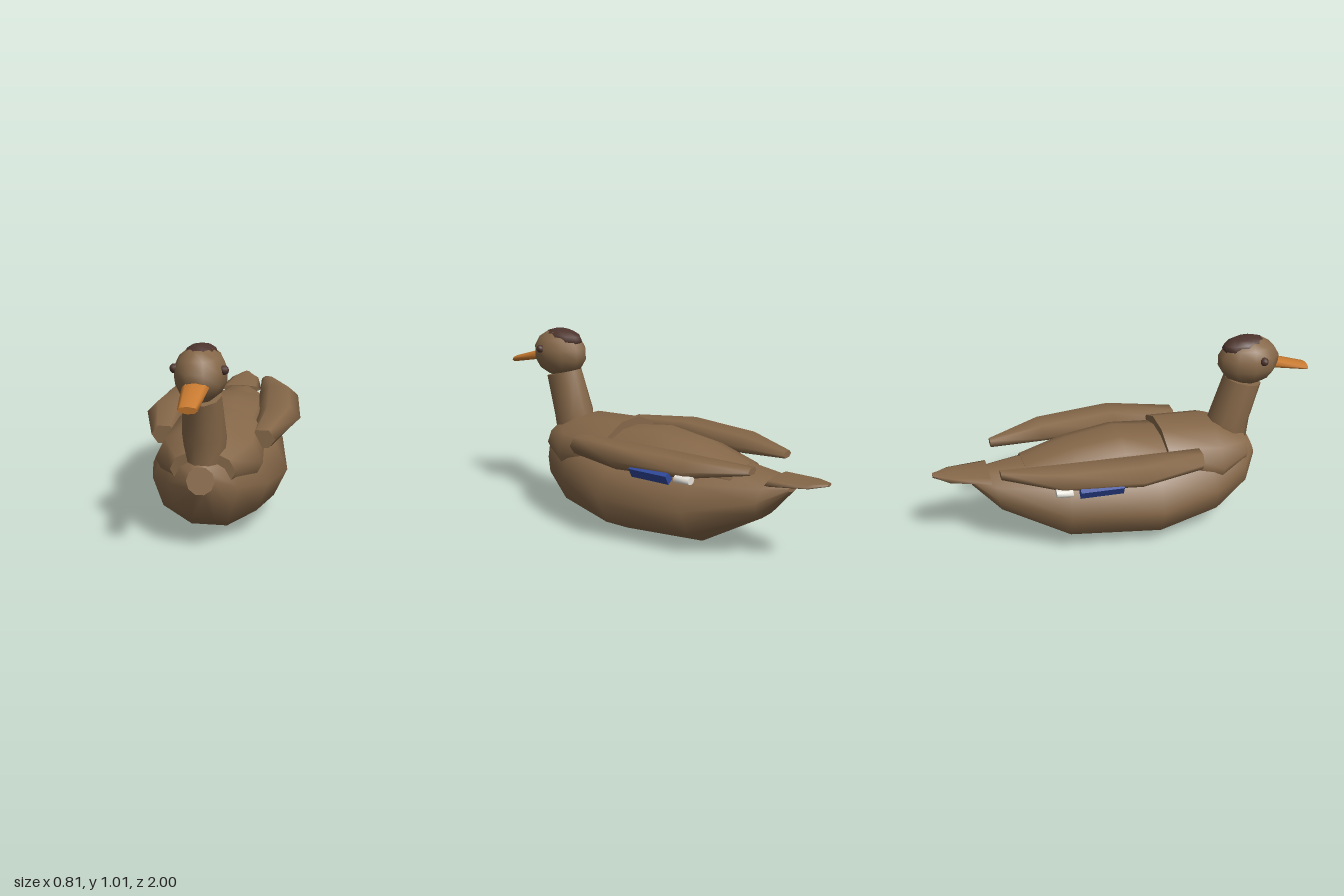
import * as THREE from 'three';

const mat = (name, color) => {
  const m = new THREE.MeshStandardMaterial({ color });
  m.name = name;
  return m;
};

// Smooth skin over elliptical rings, with flat ends.
// Ring: [cx, cy, cz, half width in x, rise (dy), lean (dz)], listed front to back or bottom to top.
function loft(rings, sides) {
  const pos = [], idx = [];
  const addRing = ([cx, cy, cz, rx, dy, dz = 0]) => {
    const start = pos.length / 3;
    for (let j = 0; j < sides; j++) {
      const a = (j / sides) * Math.PI * 2;
      pos.push(cx + rx * Math.cos(a), cy + dy * Math.sin(a), cz + dz * Math.sin(a));
    }
    return start;
  };
  const starts = rings.map(addRing);
  for (let i = 0; i < rings.length - 1; i++) {
    for (let j = 0; j < sides; j++) {
      const k = (j + 1) % sides;
      const a = starts[i] + j, b = starts[i] + k;
      const c = starts[i + 1] + j, d = starts[i + 1] + k;
      idx.push(a, c, b, b, c, d);
    }
  }
  const first = addRing(rings[0]), last = addRing(rings[rings.length - 1]);
  for (let j = 1; j < sides - 1; j++) {
    idx.push(first, first + j, first + j + 1, last, last + j + 1, last + j);
  }
  const g = new THREE.BufferGeometry();
  g.setAttribute('position', new THREE.Float32BufferAttribute(pos, 3));
  g.setIndex(idx);
  g.computeVertexNormals();
  return g;
}

export function createModel() {
  const duck = new THREE.Group();
  duck.name = 'duck';
  const brown = mat('featherBrown', 0x866849);
  const dark = mat('darkBrown', 0x4e352e);
  const orange = mat('billOrange', 0xc87a30);
  const blue = mat('wingBlue', 0x304a9c);
  const white = mat('wingWhite', 0xeeeae0);

  const add = (name, geometry, material, x = 0, y = 0, z = 0) => {
    const m = new THREE.Mesh(geometry, material);
    m.name = name;
    m.position.set(x, y, z);
    duck.add(m);
    return m;
  };

  // Boat-shaped body
  add('body', loft([
    [0, 0.37, 0.705, 0.067, 0.063, -0.02],
    [0, 0.32, 0.625, 0.17, 0.168, -0.035],
    [0, 0.27, 0.43, 0.285, 0.231, -0.03],
    [0, 0.235, 0.12, 0.352, 0.247],
    [0, 0.25, -0.35, 0.285, 0.226],
    [0, 0.33, -0.69, 0.15, 0.115, -0.02],
    [0, 0.395, -0.81, 0.05, 0.02],
  ], 10), brown);

  // Shoulder cape and raised back
  add('mantle', loft([
    [0, 0.4, 0.64, 0.155, 0.097],
    [0, 0.39, 0.47, 0.262, 0.17],
    [0, 0.425, 0.18, 0.24, 0.152],
  ], 10), brown);
  add('backFeathers', loft([
    [0, 0.44, 0.2, 0.21, 0.09],
    [0, 0.44, -0.04, 0.215, 0.126],
    [0, 0.43, -0.3, 0.19, 0.1],
    [0, 0.415, -0.54, 0.14, 0.04],
  ], 10), brown);

  add('tail', loft([
    [0, 0.42, -0.72, 0.122, 0.022],
    [0, 0.437, -0.92, 0.08, 0.016],
    [0, 0.449, -1, 0.018, 0.009],
  ], 8), brown);

  // Neck, leaning forward
  add('neck', loft([
    [0, 0.42, 0.57, 0.092, 0, 0.11],
    [0, 0.55, 0.58, 0.106, -0.01, 0.11],
    [0, 0.765, 0.645, 0.092, -0.026, 0.1],
  ], 10), brown);

  // Head with dark crown
  add('head', new THREE.SphereGeometry(1, 10, 7), brown, 0, 0.873, 0.672)
    .scale.set(0.124, 0.13, 0.165);
  const crown = add('crown', new THREE.SphereGeometry(1, 10, 6), dark, 0, 0.957, 0.642);
  crown.scale.set(0.078, 0.049, 0.118);
  crown.rotation.x = -0.12;

  add('bill', loft([
    [0, 0.797, 1, 0.045, 0.017, 0.002],
    [0, 0.843, 0.82, 0.06, 0.027],
    [0, 0.848, 0.76, 0.06, 0.027],
  ], 8), orange);

  for (const s of [1, -1]) {
    const side = s > 0 ? 'left' : 'right';
    add(side + 'Eye', new THREE.SphereGeometry(0.022, 8, 6), dark, s * 0.112, 0.903, 0.714);

    // Folded wing, six-sided
    add(side + 'Wing', loft([
      [s * 0.245, 0.465, 0.34, 0.063, 0.052],
      [s * 0.292, 0.477, 0, 0.113, 0.067],
      [s * 0.255, 0.485, -0.4, 0.107, 0.052],
      [s * 0.165, 0.495, -0.68, 0.037, 0.02],
    ], 6), brown);

    // Coloured feathers set obliquely under the wing edge
    add(side + 'BluePatch', new THREE.BoxGeometry(0.04, 0.056, 0.217), blue, s * 0.342, 0.435, -0.21)
      .rotation.set(0, s * 0.05, -s * Math.PI / 6);
    add(side + 'WhitePatch', loft([
      [s * 0.327, 0.438, -0.355, 0.027, 0.022],
      [s * 0.317, 0.438, -0.435, 0.027, 0.02],
    ], 8), white);
  }
  return duck;
}
